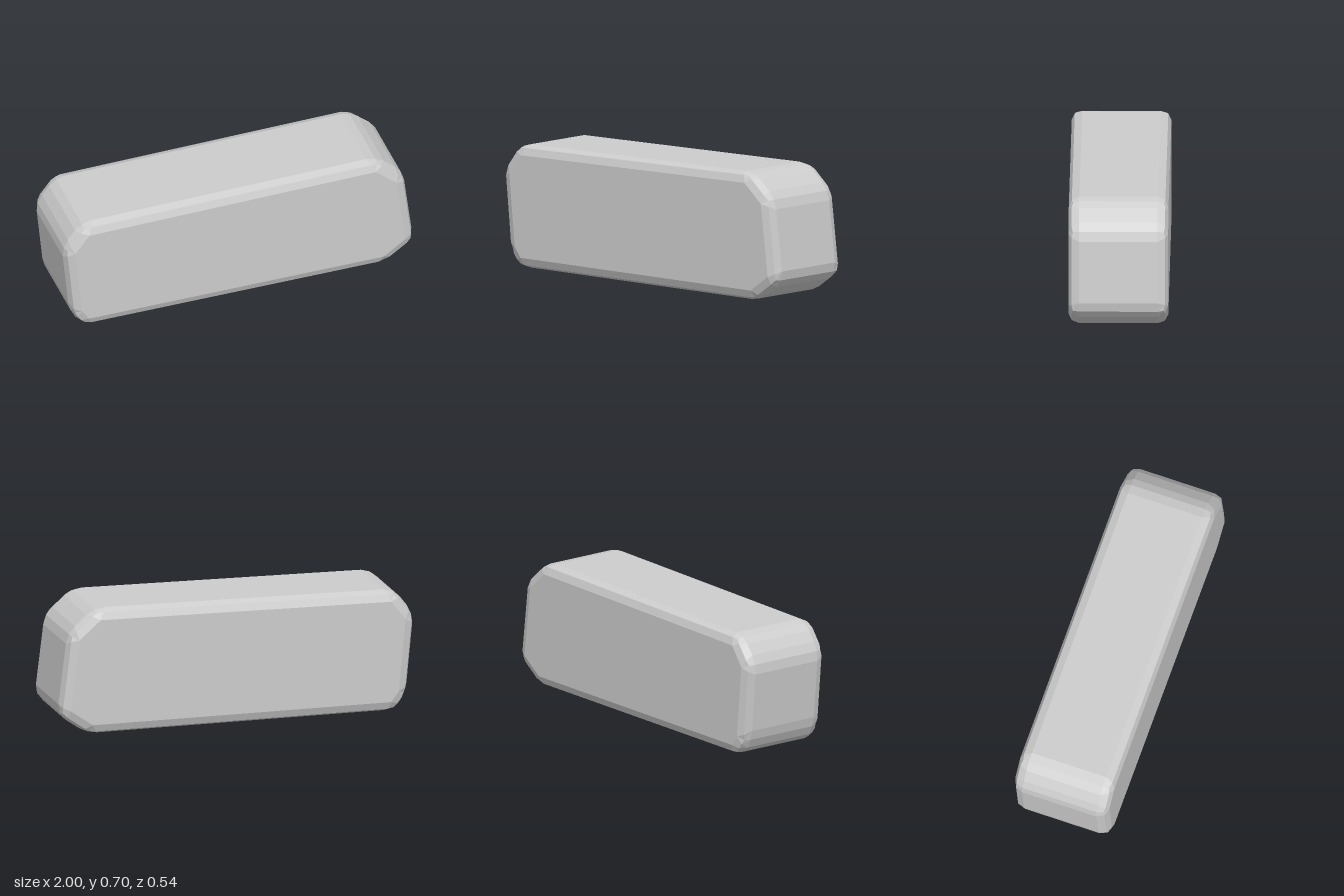
import * as THREE from 'three';

const BEVEL = 0.057;
const HALF_DEPTH = 0.27;
const ARC = 1 - Math.SQRT1_2; // how far a rounded bevel's midpoint sits from the sharp edge

// Sharp eight-sided outline, counter-clockwise from the bottom left
const OUTLINE = [
  [-0.895, 0], [0.838, 0], [1.006, 0.117], [0.95, 0.567],
  [0.797, 0.7], [-0.895, 0.676], [-1.006, 0.532], [-0.963, 0.093],
].map(([x, y]) => new THREE.Vector2(x, y));

// Three nested cross-sections of a two-step bevel: flat face, middle ring and outer ring
function bevelRings() {
  const face = [], middle = [], outer = [];
  const n = OUTLINE.length;
  const at = (p, z) => new THREE.Vector3(p.x, p.y, z);
  OUTLINE.forEach((p, i) => {
    const back = OUTLINE[(i + n - 1) % n].clone().sub(p).normalize();
    const ahead = OUTLINE[(i + 1) % n].clone().sub(p).normalize();
    const sine = Math.abs(back.cross(ahead));
    const a = p.clone().addScaledVector(back, BEVEL);
    const c = p.clone().addScaledVector(ahead, BEVEL);
    const b = p.clone().addScaledVector(back, BEVEL * ARC).addScaledVector(ahead, BEVEL * ARC);
    const f = p.clone().add(back.clone().add(ahead).multiplyScalar(BEVEL / sine));

    // Midpoint of the rounding between the face corner and a point on the outline
    const edgeMid = (q, outX, outY) => {
      const sharp = q.clone().add(f).multiplyScalar(0.5)
        .add(new THREE.Vector2(outX, outY).multiplyScalar(BEVEL / 2));
      const m = sharp.clone().multiplyScalar(1 - 2 * ARC).addScaledVector(q, ARC).addScaledVector(f, ARC);
      return at(m, HALF_DEPTH - BEVEL * ARC);
    };
    const fz = at(f, HALF_DEPTH);
    face.push(fz, fz, fz);
    middle.push(
      edgeMid(a, -back.y, back.x),
      at(p.clone().lerp(f, 0.37), HALF_DEPTH - BEVEL * 0.42),
      edgeMid(c, ahead.y, -ahead.x),
    );
    outer.push(...[a, b, c].map((q) => at(q, HALF_DEPTH - BEVEL)));
  });
  return [face, middle, outer];
}

function blockGeometry() {
  const front = bevelRings();
  const mirror = (ring) => ring.map((v) => new THREE.Vector3(v.x, v.y, -v.z));
  const rings = [...front, ...front.map(mirror).reverse()];
  const positions = [];
  const triangle = (a, b, c) => {
    const area = b.clone().sub(a).cross(c.clone().sub(a)).length();
    if (area > 1e-9) positions.push(...a, ...b, ...c);
  };

  // Skin between neighbouring rings
  for (let r = 0; r < rings.length - 1; r++) {
    const near = rings[r], far = rings[r + 1], n = near.length;
    for (let i = 0; i < n; i++) {
      const j = (i + 1) % n;
      // Split each quad so the corner patches stay symmetrical
      triangle(near[i], far[i], far[j]);
      triangle(near[i], far[j], near[j]);
    }
  }
  // Flat front and back faces
  const first = rings[0], last = rings[rings.length - 1];
  for (let i = 3; i < first.length - 3; i += 3) {
    triangle(first[0], first[i], first[i + 3]);
    triangle(last[0], last[i + 3], last[i]);
  }

  const geometry = new THREE.BufferGeometry();
  geometry.setAttribute('position', new THREE.Float32BufferAttribute(positions, 3));
  geometry.computeVertexNormals();
  return geometry;
}

export function createModel() {
  const group = new THREE.Group();
  group.name = 'bevelledBlock';
  const grey = new THREE.MeshStandardMaterial({ color: 0xcccccc, flatShading: true });
  grey.name = 'lightGrey';
  const block = new THREE.Mesh(blockGeometry(), grey);
  block.name = 'block';
  group.add(block);
  return group;
}
